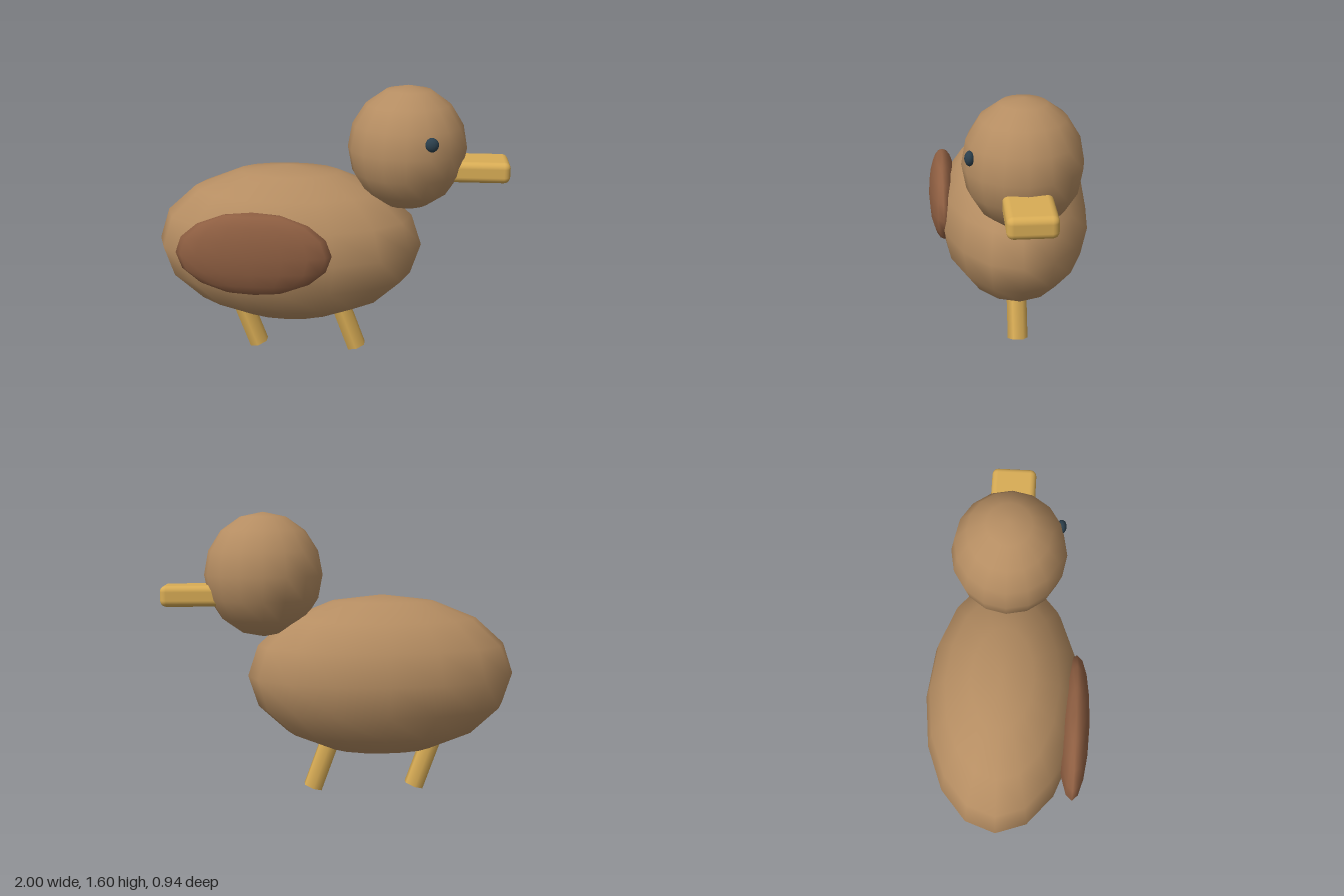
import * as THREE from 'three';
import { RoundedBoxGeometry } from 'three/addons/geometries/RoundedBoxGeometry.js';

const MID_Z = -0.027; // symmetry plane of body, head, beak and legs

function makeMaterial(name, color) {
  const material = new THREE.MeshStandardMaterial({ color });
  material.name = name;
  return material;
}

export function createModel() {
  const model = new THREE.Group();
  model.name = 'duckling';

  const brown = makeMaterial('light brown', 0xb58d62);
  const darkBrown = makeMaterial('dark brown', 0x8f5f42);
  const yellow = makeMaterial('yellow', 0xd8ac55);
  const slate = makeMaterial('dark slate', 0x2b3f4c);

  function add(name, geometry, material, position) {
    const mesh = new THREE.Mesh(geometry, material);
    mesh.name = name;
    mesh.position.set(...position);
    model.add(mesh);
    return mesh;
  }

  // Coarse, smooth-shaded ellipsoid
  function ellipsoid(name, material, position, radii) {
    const geometry = new THREE.SphereGeometry(1, 16, 8).scale(...radii);
    return add(name, geometry, material, position);
  }

  ellipsoid('body', brown, [-0.237, 0.675, MID_Z], [0.763, 0.46, 0.443]);
  ellipsoid('head', brown, [0.432, 1.25, MID_Z], [0.332, 0.349, 0.317]);
  ellipsoid('wing', darkBrown, [-0.383, 0.738, 0.385], [0.427, 0.238, 0.087]);
  ellipsoid('eye', slate, [0.562, 1.331, 0.25], [0.037, 0.039, 0.027]);

  // Beak, its back end buried in the head
  add('beak', new RoundedBoxGeometry(0.4, 0.117, 0.252, 3, 0.035), yellow, [0.8, 1.138, MID_Z]);

  // Slanted hexagonal legs, placed by the centre of the foot
  const tilt = THREE.MathUtils.degToRad(20);
  const length = 0.42;
  for (const [name, x] of [['rearLeg', -0.43], ['frontLeg', 0.159]]) {
    const geometry = new THREE.CylinderGeometry(0.059, 0.059, length, 6).translate(0, length / 2, 0);
    add(name, geometry, yellow, [x, 0.018, MID_Z]).rotation.z = tilt;
  }

  return model;
}
